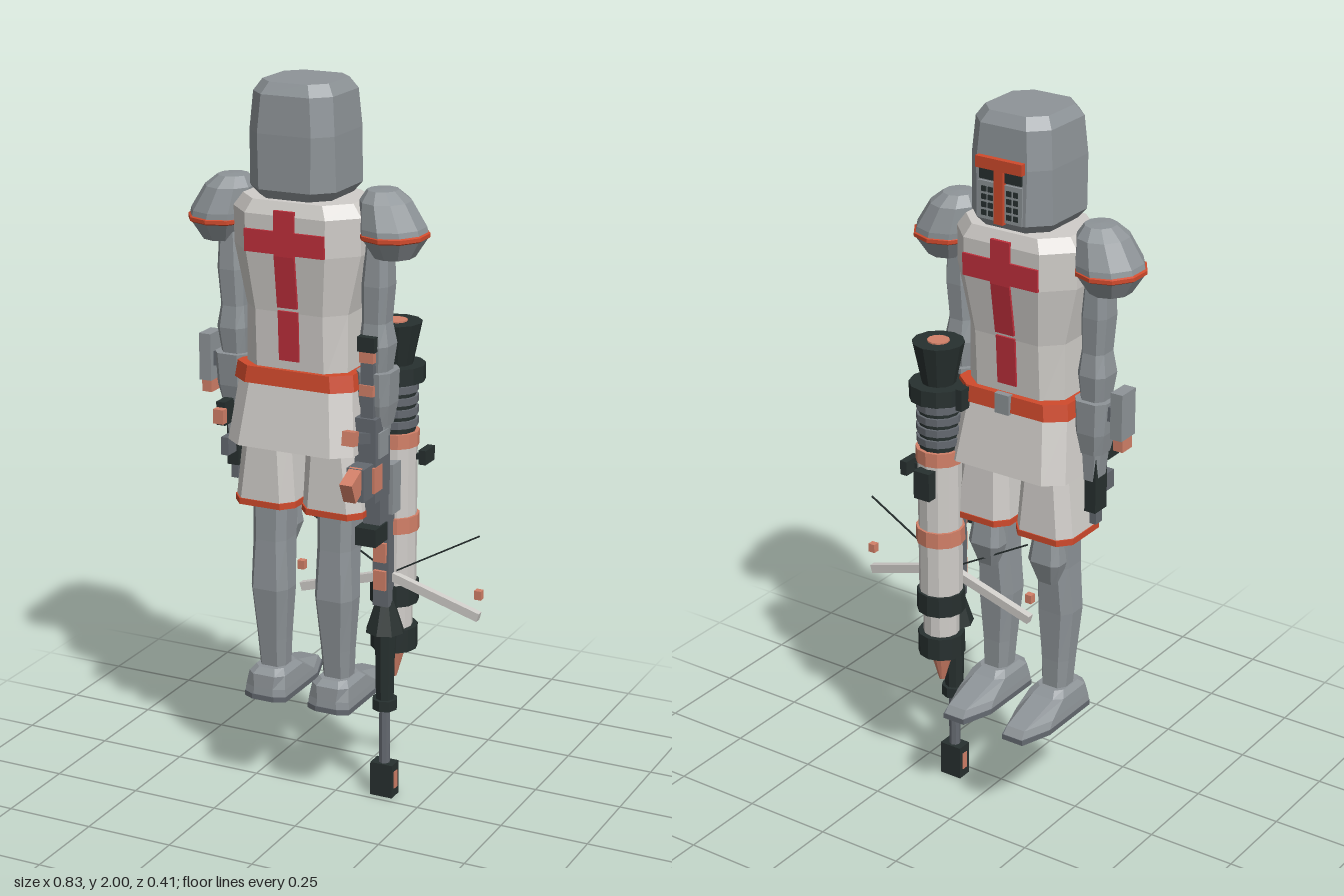
import * as THREE from 'three';

const mat = (name, color) => {
  const m = new THREE.MeshStandardMaterial({ color });
  m.name = name;
  return m;
};

export function createModel() {
  const steel = mat('steel', 0x8e9498), cloth = mat('cloth', 0xd0cdc9), trim = mat('orange trim', 0xd04a2c);
  const red = mat('red cloth', 0xc0303c), dark = mat('dark metal', 0x27302f), copper = mat('copper', 0xd28068);
  const gun = mat('gunmetal', 0x646970);
  const root = new THREE.Group();
  root.name = 'armouredKnight';

  // Adds a faceted mesh
  const add = (parent, name, geo, material, x = 0, y = 0, z = 0) => {
    const g = geo.index ? geo.toNonIndexed() : geo;
    g.computeVertexNormals();
    const m = new THREE.Mesh(g, material);
    m.name = name;
    m.position.set(x, y, z);
    parent.add(m);
    return m;
  };
  // Box from its limits
  const box = (p, name, m, x0, x1, y0, y1, z0, z1) =>
    add(p, name, new THREE.BoxGeometry(x1 - x0, y1 - y0, z1 - z0), m, (x0 + x1) / 2, (y0 + y1) / 2, (z0 + z1) / 2);
  // Bar between two points
  const beam = (p, name, m, a, b, w, d) => {
    const A = new THREE.Vector3(...a), B = new THREE.Vector3(...b);
    const mesh = add(p, name, new THREE.BoxGeometry(w, A.distanceTo(B), d), m);
    mesh.position.copy(A).add(B).multiplyScalar(0.5);
    mesh.quaternion.setFromUnitVectors(new THREE.Vector3(0, 1, 0), B.sub(A).normalize());
    return mesh;
  };
  // Loft through chamfered rectangles, bottom to top:
  // [y, centre x, half width, z min, z max, chamfer x, chamfer z, chamfer z at min]
  const loft = (rows) => {
    const pos = [], idx = [], n = 8;
    for (const [y, x, w, a, b, c, d, e = d] of rows)
      for (const [px, pz] of [[w, a + e], [w, b - d], [w - c, b], [c - w, b], [-w, b - d], [-w, a + e], [c - w, a], [w - c, a]])
        pos.push(x + px, y, pz);
    for (let r = 0; r < rows.length - 1; r++)
      for (let i = 0; i < n; i++) {
        const p = r * n + i, q = r * n + (i + 1) % n;
        idx.push(p, p + n, q, q, p + n, q + n);
      }
    const t = (rows.length - 1) * n;
    for (let i = 1; i < n - 1; i++) idx.push(0, i, i + 1, t, t + i + 1, t + i);
    const g = new THREE.BufferGeometry();
    g.setAttribute('position', new THREE.Float32BufferAttribute(pos, 3));
    g.setIndex(idx);
    return g;
  };
  // Stacked frustum with its base at y0
  const drum = (p, name, m, x, z, y0, y1, r0, r1, sides = 12) =>
    add(p, name, new THREE.CylinderGeometry(r1, r0, y1 - y0, sides), m, x, (y0 + y1) / 2, z);

  const body = new THREE.Group();
  body.name = 'body';
  body.position.x = -0.075;
  root.add(body);

  // Helmet
  add(body, 'helmet', loft([
    [1.70, 0, 0.105, -0.09, 0.13, 0.045, 0.045], [1.725, 0, 0.124, -0.11, 0.147, 0.05, 0.05],
    [1.87, 0, 0.122, -0.107, 0.147, 0.045, 0.045], [1.97, 0, 0.114, -0.1, 0.14, 0.045, 0.045],
    [2.0, 0, 0.095, -0.08, 0.12, 0.04, 0.04]]), steel);
  // Visor: brow, nose guard, eye slit and breathing grilles
  box(body, 'visorBrow', trim, -0.07, 0.07, 1.86, 1.89, -0.122, -0.1);
  box(body, 'noseGuard', trim, -0.014, 0.014, 1.72, 1.86, -0.122, -0.1);
  box(body, 'visorPlate', steel, -0.066, 0.066, 1.725, 1.825, -0.114, -0.1);
  box(body, 'eyeSlit', dark, -0.064, 0.064, 1.83, 1.858, -0.114, -0.105);
  for (const s of [-1, 1])
    for (let c = 0; c < 2; c++)
      for (let r = 0; r < 4; r++) {
        const x = s * (0.028 + c * 0.02), y = 1.742 + r * 0.021;
        box(body, 'grilleHole', dark, x - 0.007, x + 0.007, y - 0.007, y + 0.007, -0.117, -0.112);
      }

  // Torso, belt and skirt
  add(body, 'torso', loft([
    [1.22, 0, 0.148, -0.075, 0.118, 0.05, 0.04], [1.4, 0, 0.148, -0.085, 0.125, 0.05, 0.05],
    [1.56, 0, 0.184, -0.11, 0.145, 0.07, 0.07], [1.66, 0, 0.186, -0.11, 0.146, 0.07, 0.07],
    [1.695, 0, 0.16, -0.095, 0.13, 0.06, 0.06]]), cloth);
  add(body, 'belt', loft([[1.2, 0, 0.176, -0.1, 0.137, 0.05, 0.04], [1.245, 0, 0.17, -0.095, 0.132, 0.05, 0.04]]), trim);
  box(body, 'buckle', steel, -0.022, 0.022, 1.195, 1.25, -0.108, -0.09);
  add(body, 'skirt', loft([[1.03, 0, 0.186, -0.125, 0.16, 0.05, 0.04], [1.21, 0, 0.166, -0.09, 0.127, 0.05, 0.04]]), cloth);

  // Crosses on chest and back
  for (const [name, s, hi, mid, low] of [['backCross', 1, 0.148, 0.127, 0.121], ['chestCross', -1, 0.112, 0.087, 0.079]]) {
    const z = v => s * v;
    beam(body, name + 'Top', red, [0, 1.555, z(hi)], [0, 1.675, z(hi)], 0.058, 0.009);
    beam(body, name + 'Stem', red, [0, 1.415, z(mid + 0.003)], [0, 1.56, z(hi)], 0.058, 0.009);
    beam(body, name + 'Foot', red, [0, 1.27, z(low)], [0, 1.405, z(mid)], 0.058, 0.009);
    beam(body, name + 'Arms', red, [0, 1.56, z(hi)], [0, 1.62, z(hi)], 0.23, 0.009);
  }

  for (const s of [-1, 1]) {
    // Pauldrons: faceted domes leaning inward
    const pauldron = (name, rows, m) => {
      const g = new THREE.LatheGeometry(rows.map(([r, y]) => new THREE.Vector2(r, y)), 10);
      const p = g.attributes.position;
      for (let i = 0; i < p.count; i++) p.setX(i, p.getX(i) * 0.92 - s * Math.max(0, p.getY(i) - 1.62) * 0.3);
      add(body, name, g, m, s * 0.25, 0, 0.015);
    };
    pauldron('pauldron', [[0, 1.55], [0.06, 1.555], [0.098, 1.61], [0.096, 1.635], [0.074, 1.70], [0.045, 1.728], [0, 1.73]], steel);
    pauldron('pauldronRim', [[0.094, 1.604], [0.101, 1.608], [0.101, 1.618], [0.094, 1.622]], trim);

    // Arm, gauntlet and hand
    add(body, 'arm', loft([
      [1.23, s * 0.208, 0.034, -0.015, 0.06, 0.015, 0.02], [1.32, s * 0.21, 0.042, -0.025, 0.072, 0.018, 0.02],
      [1.38, s * 0.208, 0.034, -0.015, 0.065, 0.014, 0.018], [1.48, s * 0.212, 0.038, -0.02, 0.07, 0.016, 0.02],
      [1.62, s * 0.215, 0.03, -0.015, 0.06, 0.014, 0.018]]), steel);
    add(body, 'gauntlet', loft([
      [1.1, s * 0.21, 0.034, -0.02, 0.055, 0.014, 0.018], [1.16, s * 0.21, 0.044, -0.03, 0.07, 0.018, 0.02],
      [1.25, s * 0.21, 0.049, -0.032, 0.078, 0.02, 0.025]]), steel);
    add(body, 'hand', loft([
      [1.02, s * 0.208, 0.022, -0.01, 0.05, 0.008, 0.012], [1.11, s * 0.21, 0.03, -0.015, 0.055, 0.01, 0.015]]), steel);

    // Shorts with hem
    add(body, 'shortsLeg', loft([
      [0.862, s * 0.1, 0.088, -0.085, 0.105, 0.03, 0.035], [1.06, s * 0.094, 0.07, -0.07, 0.1, 0.03, 0.03]]), cloth);
    add(body, 'shortsHem', loft([
      [0.845, s * 0.1, 0.091, -0.088, 0.108, 0.03, 0.035], [0.862, s * 0.1, 0.091, -0.088, 0.108, 0.03, 0.035]]), trim);

    // Leg with knee plate and pointed shoe
    const x = s * 0.097;
    add(body, 'leg', loft([
      [0.34, x, 0.037, -0.015, 0.06, 0.014, 0.02], [0.45, x, 0.044, -0.015, 0.072, 0.018, 0.025],
      [0.6, x, 0.056, -0.02, 0.088, 0.02, 0.03], [0.74, x, 0.05, -0.03, 0.08, 0.02, 0.025],
      [0.9, x, 0.052, -0.045, 0.075, 0.02, 0.025]]), steel);
    add(body, 'kneePlate', loft([
      [0.7, x, 0.03, -0.045, 0, 0.01, 0.01], [0.765, x, 0.05, -0.065, 0, 0.018, 0.015],
      [0.83, x, 0.042, -0.055, 0, 0.015, 0.015]]), steel);
    add(body, 'sole', loft([
      [0.28, x, 0.063, -0.198, 0.106, 0.03, 0.015, 0.09], [0.295, x, 0.063, -0.198, 0.106, 0.03, 0.015, 0.09]]), gun);
    add(body, 'shoe', loft([
      [0.295, x, 0.062, -0.196, 0.104, 0.032, 0.015, 0.09], [0.315, x, 0.06, -0.18, 0.102, 0.032, 0.015, 0.09],
      [0.352, x, 0.055, -0.05, 0.098, 0.022, 0.02], [0.368, x, 0.042, -0.03, 0.08, 0.018, 0.02]]), steel);
  }

  // Wrist block and sidearm on the right hand
  const side = new THREE.Group();
  side.name = 'sidearm';
  root.add(side);
  box(side, 'wristBlock', steel, -0.385, -0.35, 1.16, 1.29, -0.015, 0.05);
  box(side, 'wristBlockCap', copper, -0.383, -0.354, 1.125, 1.16, -0.005, 0.04);
  box(side, 'wristMount', gun, -0.355, -0.32, 1.2, 1.24, 0, 0.035);
  box(side, 'sidearmBody', dark, -0.306, -0.272, 0.93, 1.1, -0.01, 0.045);
  box(side, 'sidearmBarrel', gun, -0.299, -0.279, 0.89, 0.95, 0.005, 0.035);
  box(side, 'sidearmGrip', dark, -0.302, -0.276, 1.06, 1.125, 0.02, 0.11);
  box(side, 'sidearmGripCap', copper, -0.3, -0.27, 1.07, 1.11, 0.11, 0.132);
  box(side, 'sidearmMagazine', gun, -0.3, -0.278, 0.97, 1.02, 0.045, 0.09);

  // Launcher tube slung behind the rifle: [name, colour, y0, y1, r0, r1]
  const launcher = new THREE.Group();
  launcher.name = 'launcher';
  root.add(launcher);
  const X = 0.13, Z = -0.1;
  for (const [name, m, y0, y1, r0, r1] of [
    ['flaredMouth', dark, 1.235, 1.35, 0.046, 0.07], ['mouthCollar', dark, 1.19, 1.235, 0.08, 0.08],
    ['neck', dark, 1.05, 1.19, 0.055, 0.055], ['upperBand', copper, 1.01, 1.05, 0.065, 0.065],
    ['upperTube', cloth, 0.815, 1.01, 0.06, 0.06], ['middleBand', copper, 0.77, 0.815, 0.067, 0.067],
    ['lowerTube', cloth, 0.62, 0.77, 0.06, 0.06], ['lowerCollar', dark, 0.56, 0.62, 0.067, 0.067],
    ['tailTube', cloth, 0.49, 0.56, 0.05, 0.05], ['tailCollar', dark, 0.425, 0.49, 0.065, 0.065],
    ['warhead', copper, 0.335, 0.425, 0.008, 0.034]]) drum(launcher, name, m, X, Z, y0, y1, r0, r1);
  for (let i = 0; i < 4; i++) drum(launcher, 'neckRing', gun, X, Z, 1.065 + i * 0.032, 1.085 + i * 0.032, 0.062, 0.062);
  drum(launcher, 'mouthCore', copper, X, Z, 1.345, 1.354, 0.03, 0.03);
  box(launcher, 'sideClip', dark, 0.2, 0.221, 0.96, 1.0, -0.155, -0.095);
  box(launcher, 'sideClipArm', dark, 0.18, 0.212, 0.97, 0.985, -0.12, -0.105);
  box(launcher, 'collarClip', dark, 0.036, 0.055, 1.18, 1.24, -0.13, -0.07);
  box(launcher, 'frontSight', dark, 0.105, 0.155, 0.92, 1.0, -0.185, -0.155);

  // Long rifle pointing down
  const rifle = new THREE.Group();
  rifle.name = 'rifle';
  root.add(rifle);
  const B = (name, m, w, y0, y1, z0, z1) => box(rifle, name, m, X - w / 2, X + w / 2, y0, y1, z0, z1);
  B('muzzleBrake', dark, 0.066, 0, 0.098, -0.065, -0.02);
  B('muzzlePort', copper, 0.07, 0.025, 0.075, -0.053, -0.033);
  drum(rifle, 'barrel', gun, X, -0.042, 0.09, 0.7, 0.016, 0.016, 8);
  drum(rifle, 'barrelCollar', dark, X, -0.042, 0.26, 0.29, 0.036, 0.036, 8);
  drum(rifle, 'barrelShroud', dark, X, -0.042, 0.29, 0.49, 0.026, 0.03, 8);
  drum(rifle, 'bipodMount', dark, X, -0.04, 0.49, 0.58, 0.055, 0.026, 8);
  B('handguard', gun, 0.046, 0.57, 0.84, -0.06, -0.01);
  for (const y of [0.62, 0.7, 0.78]) B('handguardInlay', copper, 0.036, y, y + 0.055, -0.03, 0.0);
  B('magazine', dark, 0.06, 0.775, 0.825, 0.012, 0.088);
  B('lowerReceiver', gun, 0.05, 0.82, 0.92, -0.02, 0.05);
  B('receiver', gun, 0.06, 0.9, 1.13, 0, 0.09);
  B('receiverPlate', steel, 0.074, 0.84, 0.98, -0.055, -0.005);
  B('opticBody', gun, 0.05, 0.92, 1.01, 0.03, 0.15);
  beam(rifle, 'opticEnd', copper, [X, 0.985, 0.13], [X, 0.955, 0.195], 0.036, 0.06);
  B('opticPlate', copper, 0.064, 0.93, 1.0, 0.05, 0.1);
  beam(rifle, 'foreGrip', gun, [X, 1.07, 0.06], [X, 1.1, 0.17], 0.03, 0.028);
  beam(rifle, 'foreGripCap', copper, [X, 1.1, 0.165], [X, 1.105, 0.195], 0.034, 0.038);
  B('triggerBlock', steel, 0.07, 1.02, 1.09, 0.02, 0.075);
  B('stock', gun, 0.036, 1.12, 1.33, 0.055, 0.082);
  B('stockPad', dark, 0.05, 1.31, 1.35, 0.05, 0.09);
  B('stockInlay', copper, 0.04, 1.19, 1.22, 0.055, 0.087);
  B('stockUpperInlay', copper, 0.04, 1.28, 1.31, 0.055, 0.087);

  // Bipod legs, feet and stay wires
  for (const s of [-1, 1]) {
    const at = (d, y, z) => [0.14 + s * d, y, z];
    beam(rifle, 'bipodLeg', cloth, at(0.01, 0.65, -0.045), at(0.265, 0.575, -0.045), 0.024, 0.02);
    beam(rifle, 'stayWire', dark, at(0.01, 0.66, -0.05), at(0.26, 0.802, -0.05), 0.004, 0.004);
    const [fx] = at(0.264, 0, 0);
    box(rifle, 'bipodFoot', copper, fx - 0.01, fx + 0.01, 0.627, 0.652, -0.053, -0.034);
  }
  return root;
}
